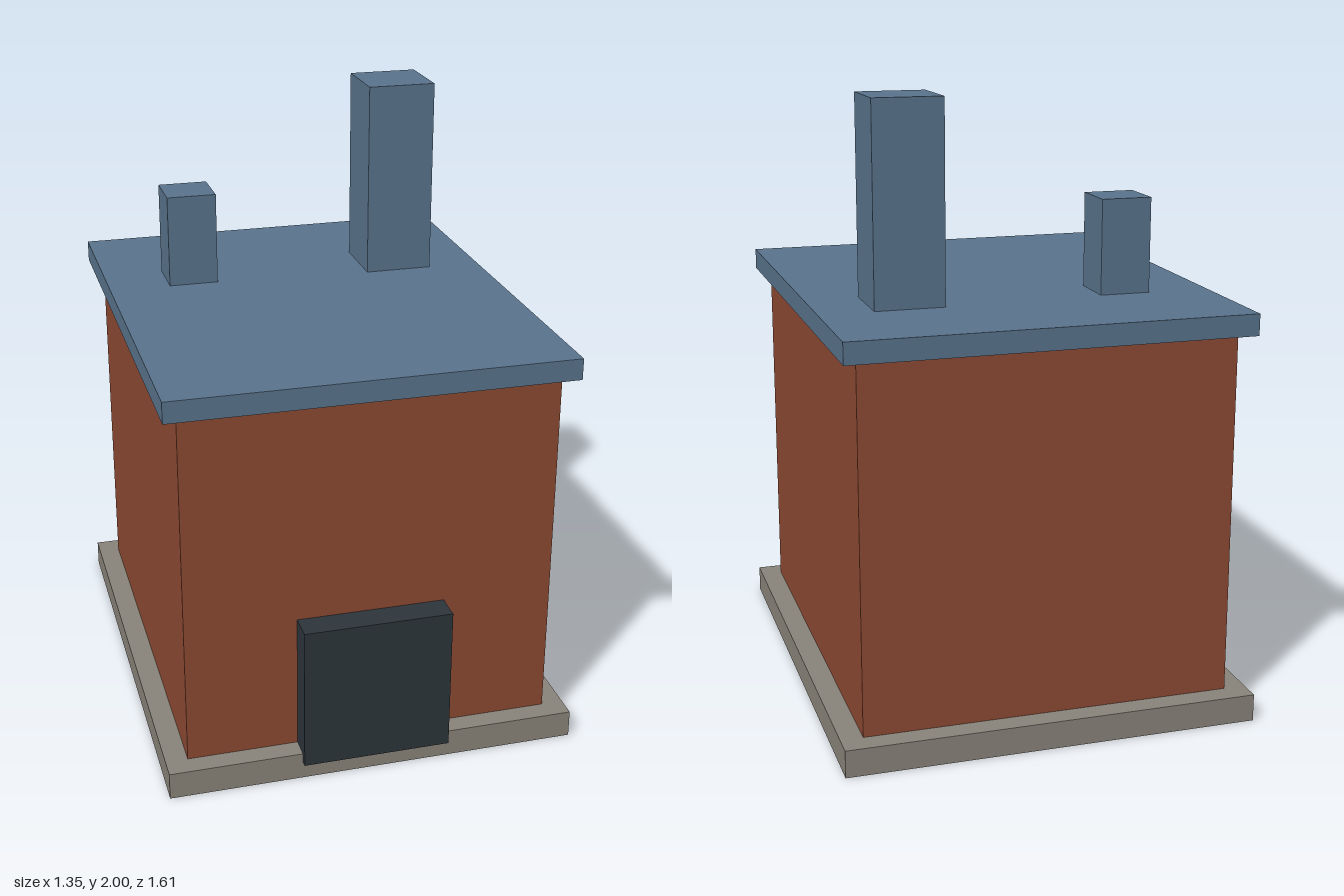
import * as THREE from 'three';

const material = (name, color) => {
  const m = new THREE.MeshStandardMaterial({ color });
  m.name = name;
  return m;
};

export function createModel() {
  const group = new THREE.Group();
  group.name = 'brickHouse';

  const brick = material('brick red', 0x8e4a33);
  const slate = material('slate blue', 0x5a748d);
  const stone = material('stone grey', 0x8a857b);
  const dark = material('dark door', 0x2d353b);

  // Box given by its lower and upper limits on each axis
  const block = (name, mat, [x0, x1], [y0, y1], [z0, z1]) => {
    const mesh = new THREE.Mesh(new THREE.BoxGeometry(x1 - x0, y1 - y0, z1 - z0), mat);
    mesh.position.set((x0 + x1) / 2, (y0 + y1) / 2, (z0 + z1) / 2);
    mesh.name = name;
    group.add(mesh);
  };

  // Plinth, walls and flat roof
  block('plinth', stone, [-0.675, 0.675], [0, 0.09], [-0.805, 0.782]);
  block('walls', brick, [-0.603, 0.603], [0.09, 1.28], [-0.733, 0.714]);
  block('roof', slate, [-0.65, 0.65], [1.28, 1.35], [-0.783, 0.759]);

  // Front door, reaching over the edge of the plinth
  block('door', dark, [-0.242, 0.242], [0.06, 0.545], [0.70, 0.805]);

  // Chimneys
  block('tallChimney', slate, [0.245, 0.473], [1.35, 2], [-0.416, -0.187]);
  block('shortChimney', slate, [-0.446, -0.28], [1.35, 1.66], [-0.386, -0.221]);

  return group;
}
